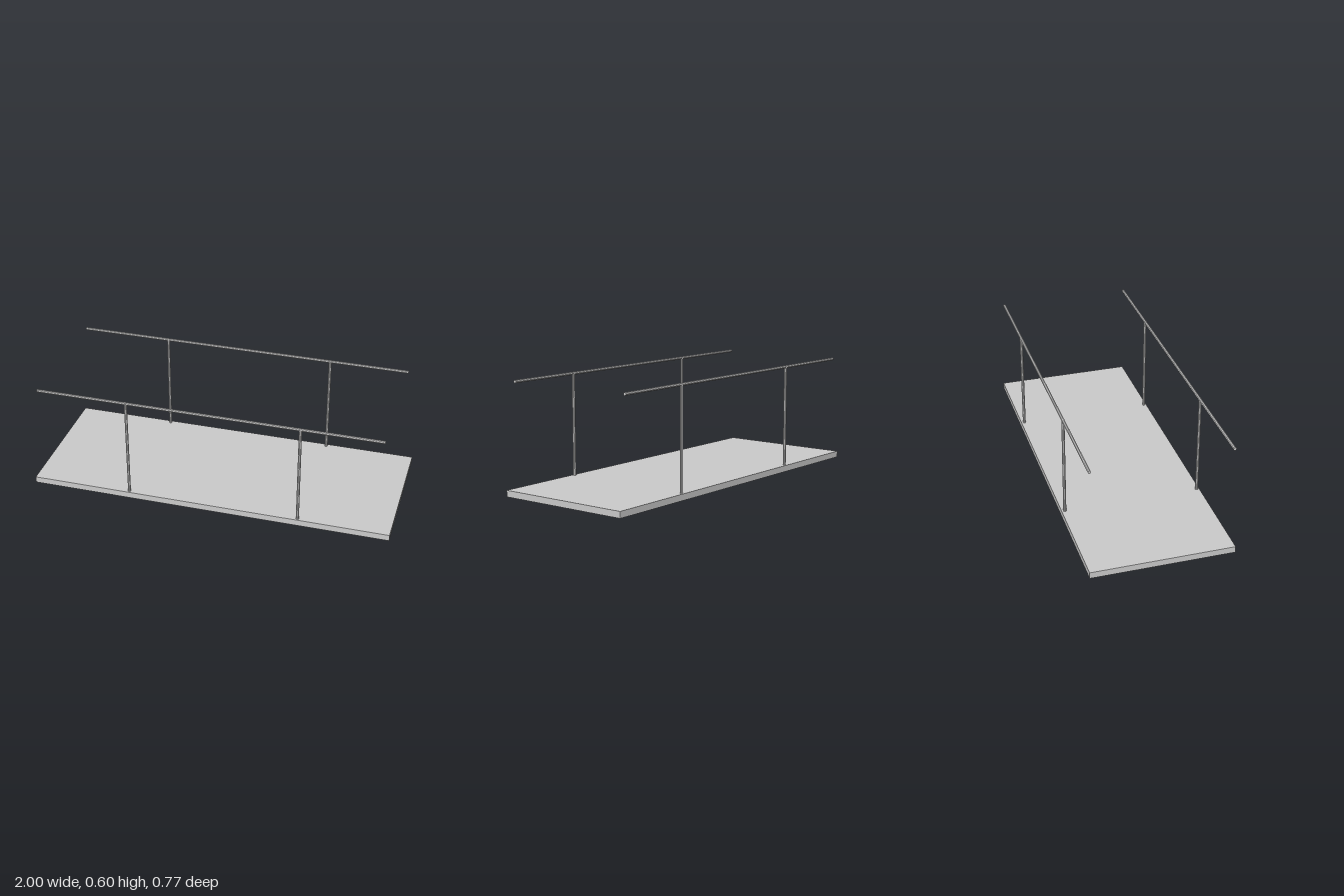
import * as THREE from 'three';

export function createModel() {
  const group = new THREE.Group();
  const material = new THREE.MeshStandardMaterial({ color: 0xcccccc, flatShading: true });

  const add = (name, geometry, x, y, z) => {
    const mesh = new THREE.Mesh(geometry, material);
    mesh.name = name;
    mesh.position.set(x, y, z);
    group.add(mesh);
    return mesh;
  };

  // Flat deck
  const deckTop = 0.035;
  add('deck', new THREE.BoxGeometry(2, deckTop, 0.773), 0, deckTop / 2, 0);

  // Octagonal handrails and posts along both long edges
  const radius = 0.0085, postTop = 0.601;
  const railGeometry = new THREE.CylinderGeometry(radius, radius, 1.892, 8).rotateZ(Math.PI / 2);
  const postGeometry = new THREE.CylinderGeometry(radius, radius, postTop - deckTop + 0.01, 8);
  for (const [side, z] of [['front', 0.3715], ['back', -0.3695]]) {
    add(side + 'Handrail', railGeometry, -0.006, 0.596, z);
    add(side + 'RightPost', postGeometry, -0.449, (postTop + deckTop - 0.01) / 2, z);
    add(side + 'LeftPost', postGeometry, 0.5, (postTop + deckTop - 0.01) / 2, z);
  }
  return group;
}
